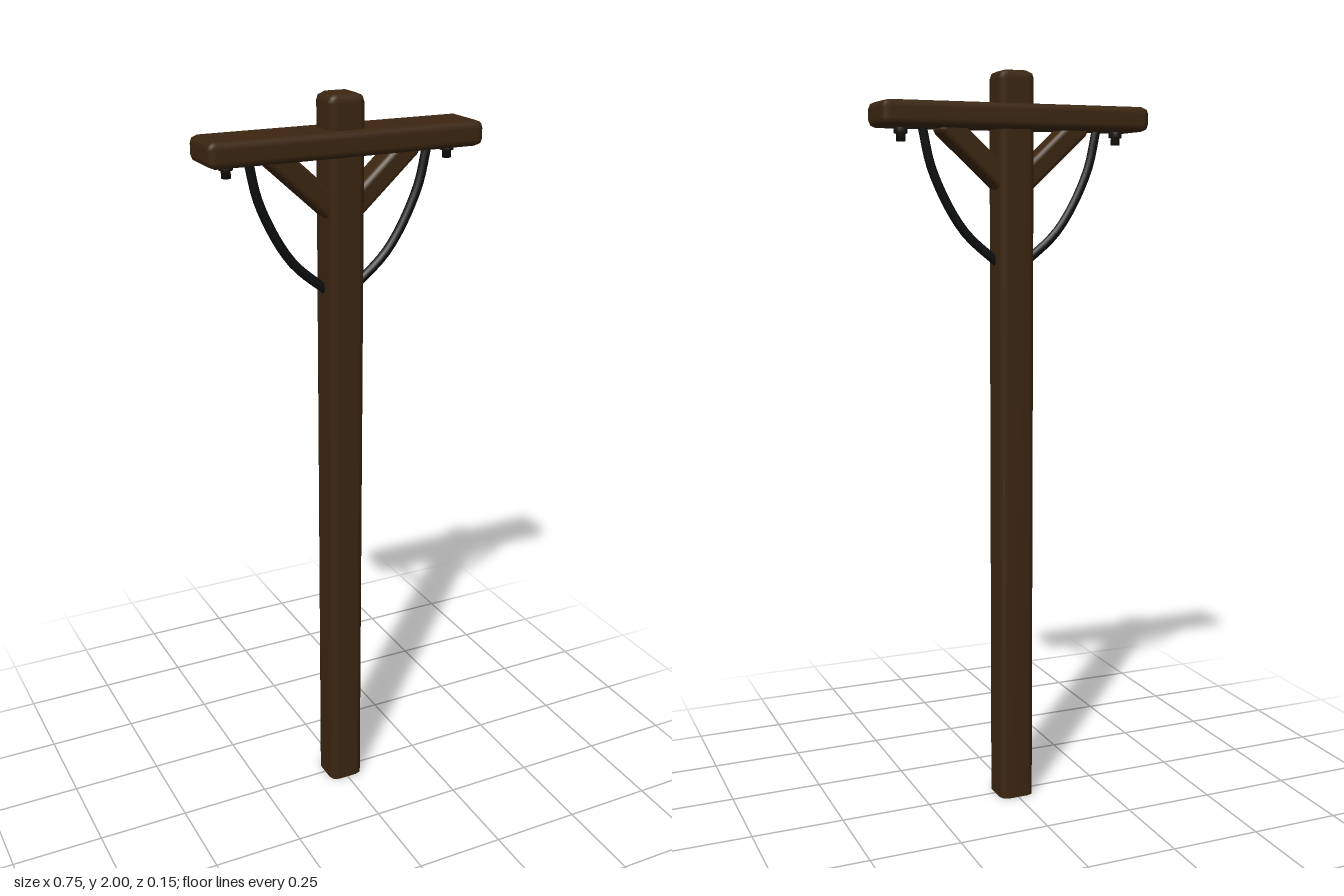
import * as THREE from 'three';
import { RoundedBoxGeometry } from 'three/addons/geometries/RoundedBoxGeometry.js';

export function createModel() {
  const model = new THREE.Group();
  model.name = 'utilityPole';

  const material = (name, color) => {
    const m = new THREE.MeshStandardMaterial({ color });
    m.name = name;
    return m;
  };
  const wood = material('dark wood', 0x3b2610);
  const rubber = material('black cable', 0x0d0f10);
  const iron = material('dark peg', 0x17120c);

  const add = (name, geometry, mat, x = 0, y = 0, z = 0) => {
    const mesh = new THREE.Mesh(geometry, mat);
    mesh.name = name;
    mesh.position.set(x, y, z);
    model.add(mesh);
    return mesh;
  };

  // Post: chamfered beam with its foot cut flat at the ground
  const bevel = 0.022;
  const postGeometry = new RoundedBoxGeometry(0.1, 2 + bevel, 0.104, 1, bevel);
  postGeometry.translate(0, 1 - bevel / 2, 0);
  const p = postGeometry.attributes.position;
  for (let i = 0; i < p.count; i++) p.setY(i, Math.max(0, p.getY(i)));
  add('post', postGeometry, wood);

  // Crossbar near the top
  add('crossbar', new RoundedBoxGeometry(0.75, 0.065, 0.15, 1, 0.019), wood, 0, 1.882, 0);

  for (const side of [1, -1]) {
    const label = side > 0 ? 'left' : 'right';

    // Diagonal brace from post to crossbar, ends buried in both
    const start = new THREE.Vector2(0.01, 1.70);
    const end = new THREE.Vector2(0.195, 1.867);
    const run = end.clone().sub(start);
    const brace = add(label + 'Brace', new RoundedBoxGeometry(run.length(), 0.06, 0.075, 1, 0.014), wood,
      side * (start.x + end.x) / 2, (start.y + end.y) / 2, 0);
    brace.rotation.z = side * run.angle();

    // Hanging cable
    const path = new THREE.CatmullRomCurve3(
      [[0.25, 1.86], [0.221, 1.74], [0.138, 1.59], [0.03, 1.495]]
        .map(([x, y]) => new THREE.Vector3(side * x, y, 0)));
    add(label + 'Cable', new THREE.TubeGeometry(path, 16, 0.0125, 8), rubber);

    // Peg below the crossbar end: wide collar and narrower tip
    const profile = [[0, 0], [0.012, 0], [0.012, 0.018], [0.018, 0.02], [0.018, 0.045], [0, 0.045]]
      .map(([r, y]) => new THREE.Vector2(r, y));
    add(label + 'Peg', new THREE.LatheGeometry(profile, 10), iron, side * 0.307, 1.815, 0);
  }

  return model;
}
